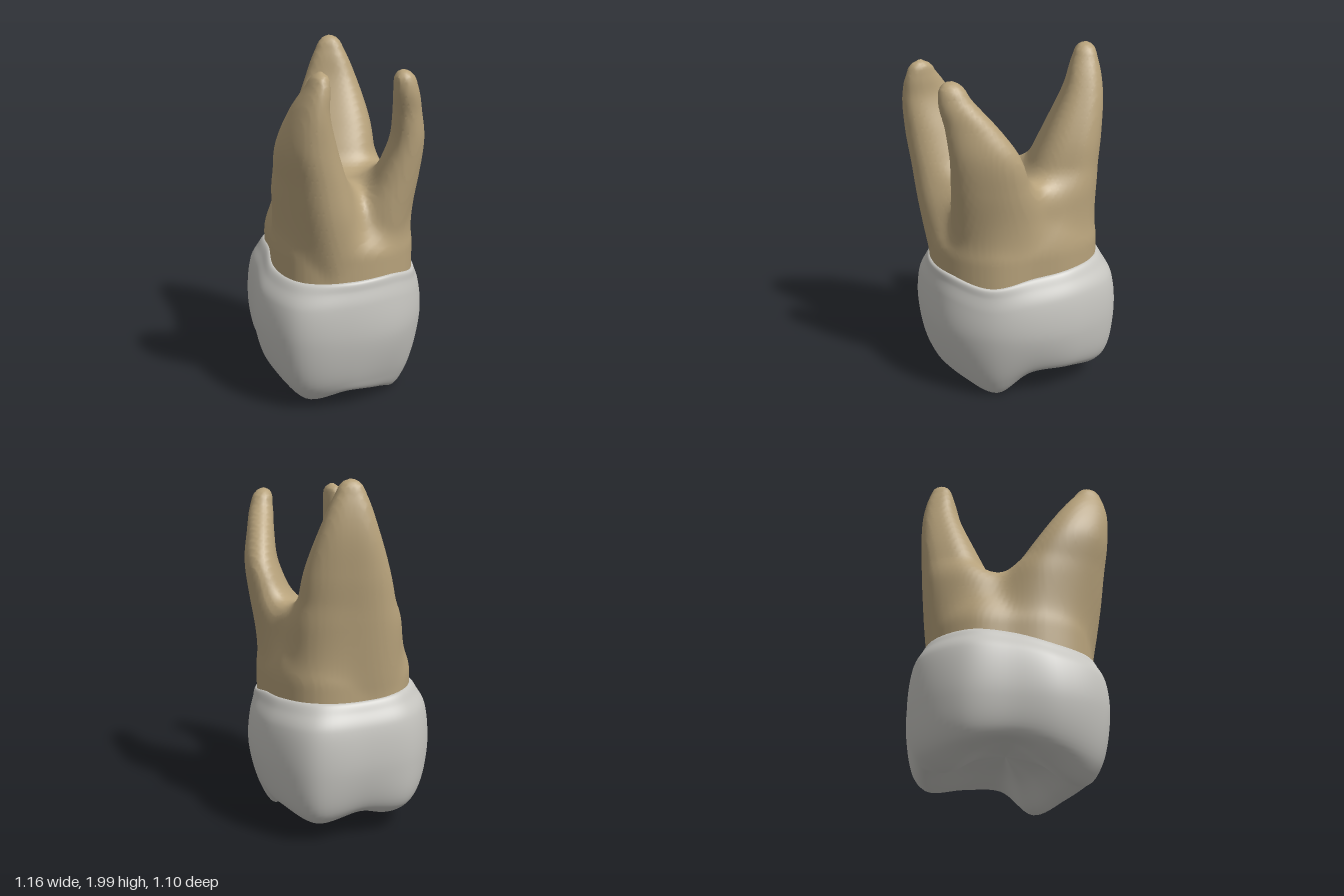
import * as THREE from 'three';

const SIDES = 12; // control values per outline, one every 30 degrees from +x towards +z

// Outlines of the tooth
const bulge = [0.535, 0.55, 0.6, 0.535, 0.485, 0.55, 0.58, 0.545, 0.6, 0.54, 0.505, 0.515];
const neck = [0.495, 0.5, 0.5, 0.435, 0.385, 0.445, 0.48, 0.46, 0.485, 0.445, 0.415, 0.475];
const neckY = [0.77, 0.76, 0.75, 0.77, 0.82, 0.83, 0.82, 0.8, 0.8, 0.79, 0.77, 0.735];
const fork = [0.26, 0.36, 0.42, 0.37, 0.27, 0.33, 0.4, 0.39, 0.4, 0.37, 0.31, 0.38];
const low = [0.46, 0.5, 0.54, 0.47, 0.43, 0.49, 0.53, 0.49, 0.555, 0.485, 0.435, 0.45];
const rim = [0.39, 0.44, 0.42, 0.36, 0.33, 0.37, 0.38, 0.42, 0.46, 0.4, 0.36, 0.36];
const rimY = [0.06, 0.1, 0.03, 0.13, 0.21, 0.17, 0.09, 0.15, 0.1, 0.15, 0.15, 0.003];

// Roots: [height, x, z, long half-width, short half-width], turn and squareness of the section
const roots = [
  { // large root
    turn: Math.PI * 0.75, power: 2.8,
    rings: [
      [0.66, -0.19, -0.1, 0.26, 0.2], [1.0, -0.208, -0.122, 0.275, 0.21],
      [1.2, -0.215, -0.138, 0.282, 0.212], [1.35, -0.235, -0.165, 0.262, 0.192],
      [1.5, -0.262, -0.195, 0.232, 0.163], [1.75, -0.307, -0.23, 0.15, 0.108],
      [1.91, -0.316, -0.23, 0.085, 0.07], [1.98, -0.317, -0.23, 0.042, 0.038],
      [2.0, -0.317, -0.23, 0.004, 0.004],
    ],
  },
  { // front root
    turn: 0.2, power: 2.2,
    rings: [
      [0.66, 0.12, 0.17, 0.29, 0.18], [1.1, 0.14, 0.255, 0.3, 0.19],
      [1.3, 0.17, 0.312, 0.265, 0.172], [1.5, 0.222, 0.375, 0.21, 0.143],
      [1.7, 0.29, 0.402, 0.145, 0.085], [1.82, 0.335, 0.388, 0.09, 0.055],
      [1.885, 0.348, 0.38, 0.046, 0.032], [1.905, 0.35, 0.38, 0.004, 0.004],
    ],
  },
  { // curved root
    turn: Math.PI / 4, power: 2.2,
    rings: [
      [0.66, 0.22, -0.08, 0.23, 0.16], [1.1, 0.285, -0.13, 0.235, 0.155],
      [1.3, 0.343, -0.168, 0.212, 0.125], [1.5, 0.4, -0.185, 0.183, 0.096],
      [1.65, 0.447, -0.14, 0.138, 0.08], [1.8, 0.5, -0.075, 0.085, 0.065],
      [1.875, 0.505, -0.055, 0.048, 0.042], [1.9, 0.505, -0.05, 0.004, 0.004],
    ],
  },
];

// Cross-section from radius and height rules
function polarRing(radius, height) {
  return Array.from({ length: SIDES }, (_, i) => {
    const t = (i / SIDES) * Math.PI * 2, r = radius(i);
    return new THREE.Vector3(Math.cos(t) * r, height(i), Math.sin(t) * r);
  });
}

function buildGeometry(pos, index) {
  const geo = new THREE.BufferGeometry();
  geo.setAttribute('position', new THREE.Float32BufferAttribute(pos, 3));
  geo.setIndex(index);
  geo.computeVertexNormals();
  return geo;
}

// Skins closed cross-sections (bottom to top) with smooth curves both ways
function loft(rings, around, along) {
  const loops = rings.map((r) => new THREE.CatmullRomCurve3(r, true));
  const columns = Array.from({ length: around }, (_, j) =>
    new THREE.CatmullRomCurve3(loops.map((l) => l.getPoint(j / around))));
  const pos = [], index = [];
  for (let i = 0; i <= along; i++) {
    for (const column of columns) pos.push(...column.getPoint(i / along).toArray());
  }
  for (let i = 0; i < along; i++) {
    for (let j = 0; j < around; j++) {
      const a = i * around + j, b = i * around + ((j + 1) % around);
      index.push(a, a + around, b, b, a + around, b + around);
    }
  }
  return buildGeometry(pos, index);
}

// Smooth periodic reading of an outline at any angle
function outlineAt(values, angle) {
  const f = ((angle / (Math.PI * 2) + 1) % 1) * SIDES;
  const i = Math.floor(f), t = f - i;
  const [a, b, c, d] = [-1, 0, 1, 2].map((k) => values[(i + k + SIDES) % SIDES]);
  return b + 0.5 * t * (c - a + t * (2 * a - 5 * b + 4 * c - d + t * (3 * (b - c) + d - a)));
}

// Minimum of two distances with a rounded join of width k
function smoothMin(a, b, k) {
  const h = Math.max(k - Math.abs(a - b), 0) / k;
  return Math.min(a, b) - h * h * k * 0.25;
}

// Signed distance (approximate) to one tapering root
function rootField({ turn, power, rings }) {
  const spline = new THREE.CubicInterpolant(rings.map((r) => r[0]), rings.flatMap((r) => r.slice(1)), 4);
  const top = rings[rings.length - 1][0], c = Math.cos(turn), s = Math.sin(turn);
  return (x, y, z) => {
    const [cx, cz, a, b] = spline.evaluate(Math.min(y, top));
    const dx = x - cx, dz = z - cz;
    const la = Math.max(a, 0.004), lb = Math.max(b, 0.004);
    const u = Math.abs(dx * c + dz * s) / la, v = Math.abs(dz * c - dx * s) / lb;
    const side = ((u ** power + v ** power) ** (1 / power) - 1) * lb;
    return side + Math.max(y - top, 0);
  };
}

// Signed distance to the trunk, narrowing to the fork of the roots
function trunkField(x, y, z) {
  const angle = Math.atan2(z, x), t = THREE.MathUtils.smoothstep(y, 0.88, 1.25);
  const radius = outlineAt(neck, angle) * 0.985 * (1 - t) + outlineAt(fork, angle) * t;
  return -smoothMin(radius - Math.hypot(x, z), 1.25 - y, 0.12);
}

// Turns a distance field into a mesh: one vertex per crossed cell, one quad per crossed edge
function meshField(field, min, size, step) {
  const n = size.map((s) => Math.ceil(s / step) + 1);
  const stride = [1, n[0], n[0] * n[1]];
  const at = (p) => p[0] + p[1] * stride[1] + p[2] * stride[2];
  const values = new Float32Array(n[0] * n[1] * n[2]);
  const eachPoint = (visit) => {
    for (let k = 0; k < n[2]; k++) for (let j = 0; j < n[1]; j++) for (let i = 0; i < n[0]; i++) visit([i, j, k]);
  };
  eachPoint((p) => { values[at(p)] = field(...p.map((q, a) => min[a] + q * step)); });

  const cell = new Map(), pos = [], index = [];
  eachPoint((p) => {
    if (p.some((q, a) => q === n[a] - 1)) return;
    const sum = [0, 0, 0];
    let count = 0;
    for (let corner = 0; corner < 8; corner++) {
      const o = [corner & 1, (corner >> 1) & 1, corner >> 2];
      const from = at(p) + o[0] + o[1] * stride[1] + o[2] * stride[2];
      for (let a = 0; a < 3; a++) {
        const v0 = values[from], v1 = values[from + stride[a]];
        if (o[a] || (v0 < 0) === (v1 < 0)) continue;
        o.forEach((q, b) => { sum[b] += q + (a === b ? v0 / (v0 - v1) : 0); });
        count++;
      }
    }
    if (!count) return;
    cell.set(at(p), pos.length / 3);
    pos.push(...p.map((q, a) => min[a] + (q + sum[a] / count) * step));
  });
  eachPoint((p) => {
    for (let a = 0; a < 3; a++) {
      const b = (a + 1) % 3, c = (a + 2) % 3, e = at(p);
      if (p[a] === n[a] - 1 || !p[b] || !p[c]) continue;
      const inside = values[e] < 0;
      if (inside === values[e + stride[a]] < 0) continue;
      const q = [e - stride[b] - stride[c], e - stride[c], e, e - stride[b]].map((id) => cell.get(id));
      if (q.includes(undefined)) continue;
      if (!inside) q.reverse();
      index.push(q[0], q[1], q[2], q[0], q[2], q[3]);
    }
  });
  return buildGeometry(pos, index);
}

export function createModel() {
  const group = new THREE.Group();
  const enamel = new THREE.MeshStandardMaterial({ name: 'enamel', color: 0xc6c5c0 });
  const dentine = new THREE.MeshStandardMaterial({ name: 'rootTan', color: 0xb7a27b });

  // Crown: central hollow, four cusps on the rim, bulging wall, neck
  const mix = (i, t) => neck[i] * (1 - t) + bulge[i] * t;
  const crown = new THREE.Mesh(loft([
    polarRing(() => 0.001, () => 0.25),
    polarRing((i) => rim[i] * 0.5, (i) => 0.16 + rimY[i] * 0.4),
    polarRing((i) => rim[i] * 0.88, (i) => rimY[i] + 0.02),
    polarRing((i) => rim[i] * 1.04, (i) => rimY[i] + 0.008),
    polarRing((i) => low[i], (i) => 0.13 + rimY[i] * 0.5),
    polarRing((i) => bulge[i], () => 0.43),
    polarRing((i) => mix(i, 0.8), (i) => neckY[i] - 0.13),
    polarRing((i) => mix(i, 0.38), (i) => neckY[i] - 0.05),
    polarRing((i) => neck[i] * 1.008, (i) => neckY[i]),
    polarRing((i) => neck[i] * 0.94, (i) => neckY[i] + 0.006),
  ], 96, 80), enamel);
  crown.name = 'crown';

  // Three roots melting into a shared trunk; the joins soften above the neck
  const fields = roots.map(rootField);
  const rootShape = (x, y, z) => {
    const k = 0.01 + 0.11 * THREE.MathUtils.smoothstep(y, 0.8, 1.25);
    return fields.reduce((d, f) => smoothMin(d, f(x, y, z), k), trunkField(x, y, z));
  };
  const rootMesh = new THREE.Mesh(meshField(rootShape, [-0.62, 0.66, -0.58], [1.26, 1.38, 1.18], 0.02), dentine);
  rootMesh.name = 'roots';

  group.add(crown, rootMesh);
  return group;
}
